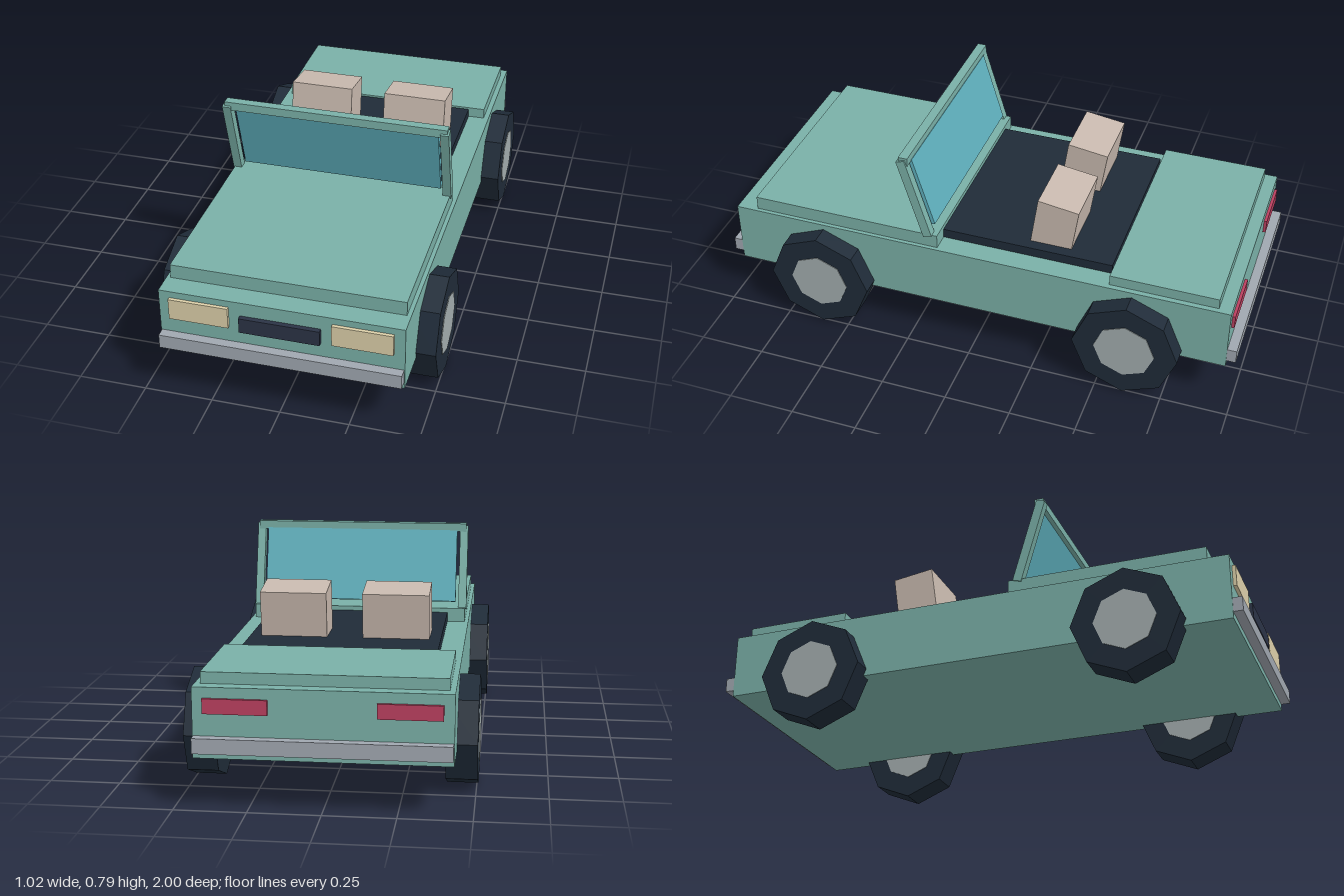
import * as THREE from 'three';

const mat = (color) => new THREE.MeshStandardMaterial({ color, flatShading: true });

export function createModel() {
  const car = new THREE.Group();
  car.name = 'convertibleCar';

  const paint = mat(0x7ab0a7);
  const dark = mat(0x1f2b38);
  const chrome = mat(0xa0a7b0);
  const hubGrey = mat(0xa3adae);
  const cream = mat(0xdccfa9);
  const grilleBlue = mat(0x2b3346);
  const red = mat(0xbb4060);
  const fabric = mat(0xc8b9ae);
  const glass = mat(0x5fb0bd);

  const add = (parent, name, geometry, material, x, y, z) => {
    const mesh = new THREE.Mesh(geometry, material);
    mesh.name = name;
    mesh.position.set(x, y, z);
    parent.add(mesh);
    return mesh;
  };
  // Box given by its lower and upper limits on each axis
  const box = (name, material, [x0, x1], [y0, y1], [z0, z1]) =>
    add(car, name, new THREE.BoxGeometry(x1 - x0, y1 - y0, z1 - z0), material,
      (x0 + x1) / 2, (y0 + y1) / 2, (z0 + z1) / 2);

  // Body, raised hood and trunk lids, cockpit floor
  box('body', paint, [-0.435, 0.435], [0.172, 0.417], [-0.965, 0.965]);
  box('hood', paint, [-0.42, 0.42], [0.41, 0.47], [0.146, 0.885]);
  box('trunkLid', paint, [-0.415, 0.415], [0.41, 0.457], [-0.917, -0.515]);
  box('cockpit', dark, [-0.352, 0.352], [0.40, 0.453], [-0.508, 0.146]);

  // Bumpers and grille
  box('frontBumper', chrome, [-0.432, 0.432], [0.197, 0.25], [0.955, 1]);
  box('rearBumper', chrome, [-0.432, 0.432], [0.197, 0.25], [-1, -0.955]);
  box('grille', grilleBlue, [-0.143, 0.143], [0.306, 0.364], [0.955, 0.983]);

  // Windshield: tilted posts and pane under a straight top bar
  const tilt = 0.29;
  const pane = add(car, 'windshieldGlass', new THREE.BoxGeometry(0.764, 0.285, 0.02), glass, 0, 0.628, 0.217);
  pane.rotation.x = tilt;
  box('windshieldTopBar', paint, [-0.418, 0.418], [0.762, 0.794], [0.25, 0.285]);

  for (const side of [-1, 1]) {
    const label = side > 0 ? 'left' : 'right';
    const post = add(car, label + 'WindshieldPost', new THREE.BoxGeometry(0.032, 0.332, 0.034), paint,
      side * 0.409, 0.622, 0.229);
    post.rotation.x = tilt;

    // Lamps
    add(car, label + 'Headlight', new THREE.BoxGeometry(0.214, 0.08, 0.03), cream, side * 0.29, 0.352, 0.963);
    add(car, label + 'TailLight', new THREE.BoxGeometry(0.218, 0.052, 0.03), red, side * 0.29, 0.354, -0.961);

    // Reclined seat block
    const seat = add(car, label + 'Seat', new THREE.BoxGeometry(0.244, 0.22, 0.157), fabric, side * 0.188, 0.522, -0.271);
    seat.rotation.x = -0.14;

    // Eight-sided wheels with flat hubs
    for (const end of [-1, 1]) {
      const wheel = new THREE.Group();
      wheel.name = label + (end > 0 ? 'Front' : 'Rear') + 'Wheel';
      wheel.position.set(side * 0.451, 0.198, end * 0.604);
      wheel.rotation.z = Math.PI / 2;
      add(wheel, 'tyre', new THREE.CylinderGeometry(0.198, 0.198, 0.11, 8), dark, 0, 0, 0);
      add(wheel, 'hub', new THREE.CylinderGeometry(0.114, 0.114, 0.115, 8), hubGrey, 0, 0, 0);
      car.add(wheel);
    }
  }
  return car;
}
